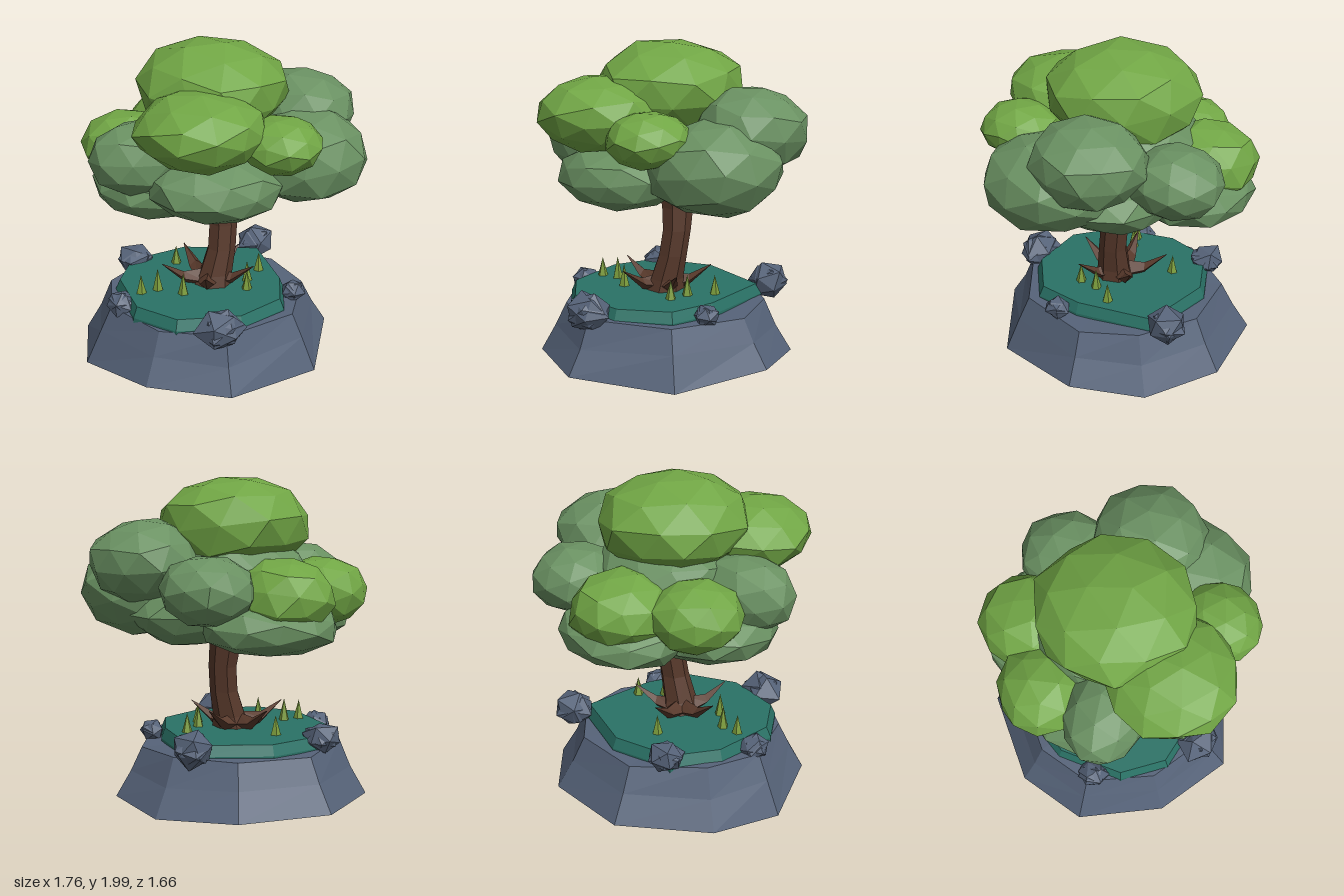
import * as THREE from 'three';

const paint = (name, color) => Object.assign(new THREE.MeshStandardMaterial({ color, flatShading: true }), { name });

// Repeatable wobble in -1..1 from a position and a seed
function wobble(x, y, z, seed) {
  const s = Math.sin(x * 12.99 + y * 78.23 + z * 37.72 + seed * 9.17) * 437.58;
  return (s - Math.floor(s)) * 2 - 1;
}

// Skin over closed rings of [x, y, z] points, with both ends capped
function loft(rings) {
  const n = rings[0].length, pos = rings.flat(2), idx = [];
  const id = (r, i) => r * n + (i % n);
  for (let r = 0; r < rings.length - 1; r++) {
    for (let i = 0; i < n; i++) {
      idx.push(id(r, i), id(r + 1, i), id(r, i + 1), id(r, i + 1), id(r + 1, i), id(r + 1, i + 1));
    }
  }
  const cap = (r, top) => {
    const mid = [0, 1, 2].map(k => rings[r].reduce((s, p) => s + p[k], 0) / n);
    const c = pos.length / 3;
    pos.push(...mid);
    for (let i = 0; i < n; i++) idx.push(c, ...(top ? [id(r, i + 1), id(r, i)] : [id(r, i), id(r, i + 1)]));
  };
  cap(0, false);
  cap(rings.length - 1, true);
  const g = new THREE.BufferGeometry();
  g.setAttribute('position', new THREE.Float32BufferAttribute(pos, 3));
  g.setIndex(idx);
  const flat = g.toNonIndexed();
  flat.computeVertexNormals();
  return flat;
}

// Faceted lump: a wobbled icosahedron stretched to the given radii
function lump(radii, detail, amount, seed) {
  const g = new THREE.IcosahedronGeometry(1, detail);
  g.rotateY(seed * 1.3);
  g.rotateX(seed * 0.7);
  const p = g.attributes.position;
  for (let i = 0; i < p.count; i++) {
    const v = [p.getX(i), p.getY(i), p.getZ(i)];
    const q = v.map(a => Math.round(a * 100) / 100 + 0);
    const k = 1.01 + amount * wobble(...q, seed);
    p.setXYZ(i, ...v.map((a, j) => a * k * radii[j]));
  }
  g.computeVertexNormals();
  return g;
}

export function createModel() {
  const model = new THREE.Group();
  model.name = 'treeIsland';
  const stone = paint('stone', 0x566379);
  const turf = paint('turf', 0x2a7266);
  const bark = paint('bark', 0x58392b);
  const brightLeaf = paint('bright leaf', 0x71a645);
  const darkLeaf = paint('dark leaf', 0x6a9162);
  const blade = paint('grass blade', 0x7c9c3c);

  const add = (name, geometry, material, at = [0, 0, 0]) => {
    const mesh = new THREE.Mesh(geometry, material);
    mesh.name = name;
    mesh.position.set(...at);
    model.add(mesh);
    return mesh;
  };

  // Rock island, wide and uneven at the foot
  const foot = [[0.72, 0.05, 0], [0.46, 0.01, 0.57], [-0.14, 0.05, 0.83], [-0.6, 0.05, 0.58], [-0.88, 0, 0.1],
    [-0.8, 0.02, -0.35], [-0.38, 0.04, -0.77], [0.2, 0.04, -0.77], [0.6, 0.02, -0.45]];
  const shrink = (k, y) => foot.map(([x, , z], i) =>
    [-0.08 + (x + 0.08) * k, y + 0.015 * wobble(x, y, z, i), 0.03 + (z - 0.03) * k]);
  add('island', loft([foot, shrink(0.88, 0.2), shrink(0.79, 0.355)]), stone);

  // Turf slab on the island
  const turfEdge = [[0.4, 0.1], [0.31, 0.4], [0, 0.57], [-0.4, 0.52], [-0.61, 0.28],
    [-0.64, -0.15], [-0.5, -0.44], [-0.1, -0.56], [0.39, -0.41]];
  add('turf', loft([[0.33, 1], [0.365, 1], [0.43, 0.95]].map(([y, k]) =>
    turfEdge.map(([x, z]) => [-0.1 + (x + 0.1) * k, y, z * k]))), turf);

  // Boulders around the rim
  [[-0.15, 0.4, 0.63, 0.15, 0.13, 0.13], [-0.65, 0.385, 0.1, 0.1, 0.08, 0.1],
    [0.38, 0.43, -0.5, 0.13, 0.11, 0.13], [0.43, 0.395, 0.21, 0.08, 0.07, 0.09],
    [-0.46, 0.42, -0.44, 0.13, 0.1, 0.12]]
    .forEach(([x, y, z, ...r], i) => {
      const g = lump(r, 0, 0.16, i + 2);
      add('boulder', g, stone, [x, y, z]);
      // A second turned lump breaks up the outline
      add('boulderChip', lump(r.map(a => a * 0.92), 0, 0.12, i + 7.5), stone, [x, y, z]);
    });

  // Leaning trunk: centre x, y, z and radius of each ring
  const trunk = [[-0.05, 0.41, 0.03, 0.13], [-0.03, 0.5, 0.03, 0.105], [0.01, 0.66, 0.02, 0.09],
    [0.025, 0.82, 0, 0.09], [0.015, 0.96, -0.02, 0.1], [-0.01, 1.2, -0.04, 0.13]];
  add('trunk', loft(trunk.map(([x, y, z, r]) => Array.from({ length: 7 }, (_, i) => {
    const a = (i / 7) * Math.PI * 2 + 0.3;
    return [x + Math.cos(a) * r, y, z + Math.sin(a) * r];
  }))), bark);

  // Pointed roots curling up around the trunk
  const ring = (r, y, w, h) => [[r, y - h], [r, y], [r, y + h], [r, y]]
    .map(([px, py], i) => [px, py, i === 1 ? w : i === 3 ? -w : 0]);
  const root = loft([ring(0.02, 0.45, 0.075, 0.07), ring(0.16, 0.475, 0.045, 0.035), ring(0.3, 0.575, 0.003, 0.003)]
    .reverse().map(r => r.slice().reverse()));
  const rootSkin = bark.clone();
  rootSkin.side = THREE.DoubleSide;
  for (let i = 0; i < 5; i++) {
    add('root', root, rootSkin, [-0.07, 0, 0.01]).rotation.y = Math.PI + (i * Math.PI * 2) / 5;
  }

  // Grass tufts: x, z, height
  [[-0.52, 0.08, 0.13], [-0.41, 0.06, 0.15], [-0.27, 0.16, 0.15], [-0.21, -0.3, 0.13],
    [0.13, 0.19, 0.13], [0.165, 0.07, 0.14], [0.28, -0.06, 0.13]]
    .forEach(([x, z, h], i) => {
      add('grassTuft', new THREE.ConeGeometry(0.036, h, 5), blade, [x, 0.42 + h / 2, z]).rotation.y = i;
    });

  // Leaf clumps: centre, then radii
  const clumps = (name, material, list) => list.forEach(([x, y, z, ...r], i) =>
    add(name, lump(r, 1, 0.045, i + (material === darkLeaf ? 20 : 1)), material, [x, y, z]));
  clumps('brightLeafClump', brightLeaf, [
    [-0.04, 1.7, -0.02, 0.46, 0.3, 0.48],
    [-0.22, 1.58, 0.42, 0.38, 0.225, 0.38],
    [0.23, 1.49, 0.52, 0.25, 0.165, 0.25],
    [-0.17, 1.3, -0.52, 0.3, 0.23, 0.32],
    [-0.51, 1.3, -0.26, 0.29, 0.21, 0.28],
  ]);
  clumps('darkLeafClump', darkLeaf, [
    [0.54, 1.5, -0.06, 0.34, 0.25, 0.35],
    [0.47, 1.31, 0.2, 0.4, 0.29, 0.42],
    [0.29, 1.36, -0.5, 0.28, 0.21, 0.29],
    [-0.49, 1.34, 0.14, 0.34, 0.23, 0.26],
    [-0.11, 1.21, 0.34, 0.4, 0.2, 0.37],
    [-0.38, 1.13, -0.02, 0.4, 0.19, 0.4],
    [-0.1, 1.13, -0.46, 0.42, 0.18, 0.38],
    [0.25, 1.18, -0.1, 0.38, 0.2, 0.38],
    [-0.03, 1.42, -0.1, 0.44, 0.24, 0.42],
  ]);
  return model;
}
